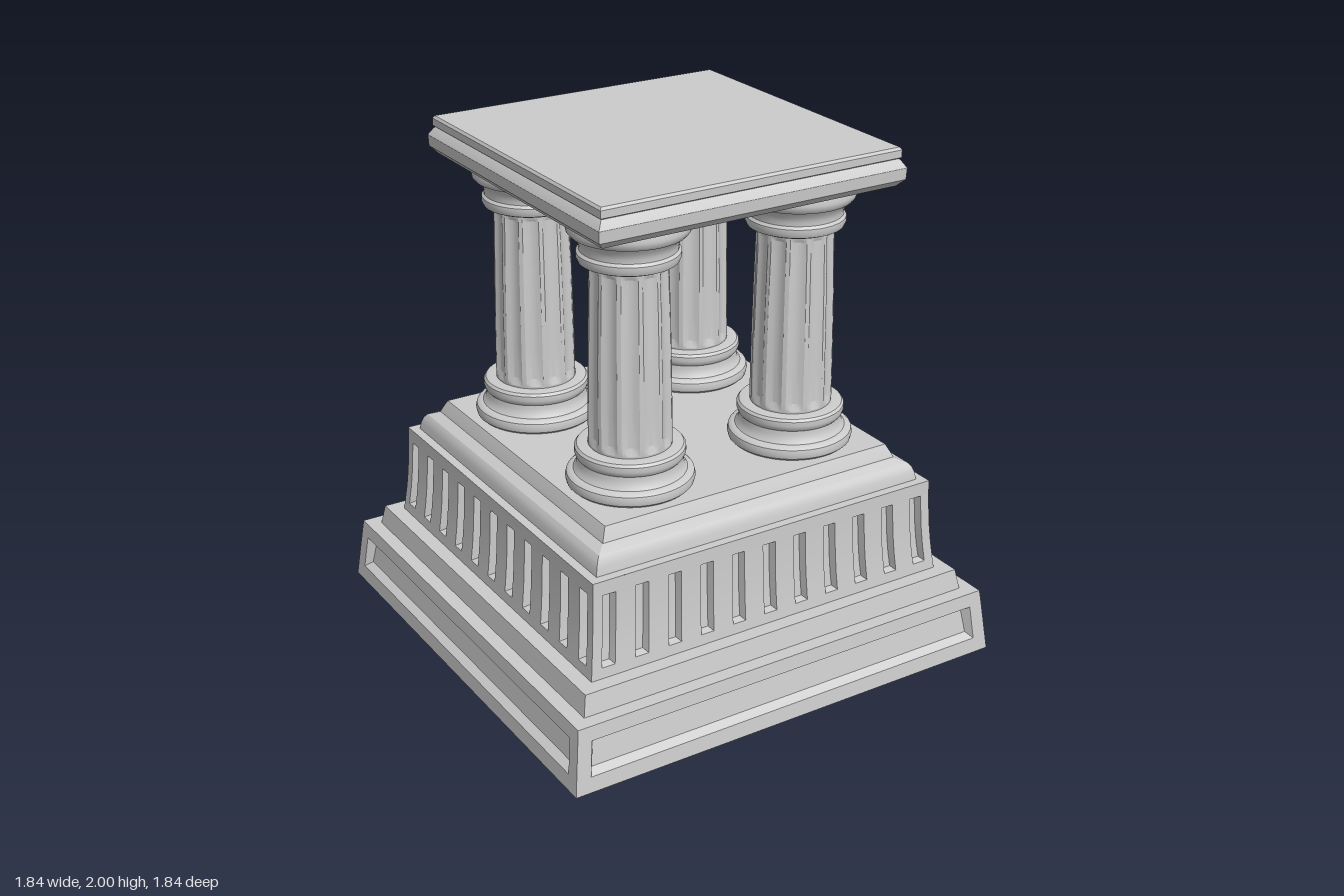
import * as THREE from 'three';
import { toCreasedNormals } from 'three/addons/utils/BufferGeometryUtils.js';

const material = new THREE.MeshStandardMaterial({ color: 0xcccccc });

function addMesh(parent, name, geometry, crease = 0.6) {
  const mesh = new THREE.Mesh(toCreasedNormals(geometry, crease), material);
  mesh.name = name;
  parent.add(mesh);
  return mesh;
}

const toPoints = (profile) => profile.map(([r, y]) => new THREE.Vector2(r, y));

// Square moulding from a profile of [half width, height], bottom to top
function squareMoulding(profile) {
  const points = toPoints(profile.map(([h, y]) => [h * Math.SQRT2, y]));
  return new THREE.LatheGeometry(points, 4).rotateY(Math.PI / 4);
}

// One wall facing +z with sunk slots. rows: [half width, height]; slots: [u0, u1] as
// fractions of the half width, cut between the row indices first and last.
function recessedWall(rows, slots, first, last, depth, inset) {
  const pos = [];
  const quad = (a, b, c, d) => pos.push(...a, ...b, ...c, ...a, ...c, ...d);
  const front = (u, i) => [u * rows[i][0], rows[i][1], rows[i][0]];
  const strip = (u0, u1, i0, i1) => {
    for (let i = i0; i < i1; i++) quad(front(u0, i), front(u1, i), front(u1, i + 1), front(u0, i + 1));
  };
  let edge = -1;
  for (const [u0, u1] of slots) {
    strip(edge, u0, 0, rows.length - 1);
    strip(u0, u1, 0, first);
    strip(u0, u1, last, rows.length - 1);
    const back = (u, i) => {
      const [x, y, z] = front(u, i);
      const dy = i === first ? inset : i === last ? -inset : 0;
      return [x + (u === u0 ? inset : -inset), y + dy, z - depth];
    };
    for (let i = first; i < last; i++) {
      quad(back(u0, i), back(u1, i), back(u1, i + 1), back(u0, i + 1));
      quad(front(u0, i), back(u0, i), back(u0, i + 1), front(u0, i + 1));
      quad(back(u1, i), front(u1, i), front(u1, i + 1), back(u1, i + 1));
    }
    quad(front(u0, first), front(u1, first), back(u1, first), back(u0, first));
    quad(back(u0, last), back(u1, last), front(u1, last), front(u0, last));
    edge = u1;
  }
  strip(edge, 1, 0, rows.length - 1);
  const geometry = new THREE.BufferGeometry();
  geometry.setAttribute('position', new THREE.Float32BufferAttribute(pos, 3));
  geometry.computeVertexNormals();
  return geometry;
}

function fourWalls(name, geometry) {
  const group = new THREE.Group();
  group.name = name;
  for (let i = 0; i < 4; i++) addMesh(group, name + 'Side', geometry, 0.4).rotation.y = i * Math.PI / 2;
  return group;
}

// Tapered shaft with twelve shallow flutes that fade out at both ends
function flutedShaft() {
  const profile = [[0.152, 0.98], [0.154, 1.0], [0.155, 1.015], [0.155, 1.03], [0.154, 1.15],
    [0.152, 1.3], [0.149, 1.45], [0.145, 1.6], [0.143, 1.66], [0.143, 1.675], [0.143, 1.7]];
  const geometry = new THREE.LatheGeometry(toPoints(profile), 120);
  const p = geometry.attributes.position;
  for (let i = 0; i < p.count; i++) {
    const x = p.getX(i), y = p.getY(i), z = p.getZ(i);
    const cell = Math.atan2(x, z) / (Math.PI / 6);
    const t = (cell - Math.round(cell)) * 2 / 0.8;
    const fade = THREE.MathUtils.smoothstep(y, 0.995, 1.03) * (1 - THREE.MathUtils.smoothstep(y, 1.655, 1.69));
    const k = 1 - 0.011 * Math.max(0, 1 - t * t) * fade / Math.hypot(x, z);
    p.setX(i, x * k);
    p.setZ(i, z * k);
  }
  geometry.computeVertexNormals();
  return geometry;
}

export function createModel() {
  const model = new THREE.Group();
  model.name = 'columnPedestal';

  // Base block with one sunk panel per side
  const baseRows = [[0.92, 0], [0.913, 0.06], [0.897, 0.195], [0.89, 0.25]];
  model.add(fourWalls('basePanel', recessedWall(baseRows, [[-0.937, 0.937]], 1, 2, 0.03, 0.02)));
  addMesh(model, 'baseBottom', squareMoulding([[0, 0], [0.92, 0]]));
  addMesh(model, 'baseStep', squareMoulding([[0.89, 0.25], [0.835, 0.25], [0.82, 0.33], [0.7, 0.33]]));

  // Flared frieze with eleven slots per side
  const friezeRows = [[0.762, 0.33], [0.757, 0.37], [0.749, 0.44], [0.743, 0.51], [0.739, 0.58], [0.736, 0.645], [0.735, 0.7]];
  const slots = [];
  for (let i = -5; i <= 5; i++) slots.push([i * 0.1823 - 0.036, i * 0.1823 + 0.036]);
  model.add(fourWalls('frieze', recessedWall(friezeRows, slots, 1, 5, 0.03, 0.007)));

  // Moulding and floor under the columns
  addMesh(model, 'platform', squareMoulding([[0.735, 0.7], [0.7, 0.7], [0.695, 0.73], [0.687, 0.752], [0.675, 0.767],
    [0.655, 0.776], [0.636, 0.784], [0.63, 0.8], [0.613, 0.835], [0, 0.835]]), 0.4);

  // Four columns
  const base = new THREE.LatheGeometry(toPoints([[0.222, 0.835], [0.233, 0.845], [0.237, 0.863], [0.233, 0.88], [0.222, 0.89],
    [0.208, 0.892], [0.198, 0.905], [0.193, 0.925], [0.192, 0.94], [0.199, 0.948], [0.203, 0.962], [0.202, 0.98],
    [0.194, 0.99], [0.18, 0.993], [0.14, 0.993]]), 48);
  const capital = new THREE.LatheGeometry(toPoints([[0.13, 1.685], [0.163, 1.685], [0.178, 1.692], [0.185, 1.708], [0.184, 1.725],
    [0.175, 1.735], [0.175, 1.75], [0.18, 1.768], [0.191, 1.783], [0.195, 1.79], [0.208, 1.793], [0.218, 1.805],
    [0.221, 1.822], [0.217, 1.84], [0.205, 1.85], [0.195, 1.858]]), 48);
  const shaft = flutedShaft();
  for (const x of [-1, 1]) for (const z of [-1, 1]) {
    const column = new THREE.Group();
    column.name = 'column';
    column.position.set(x * 0.353, 0, z * 0.353);
    addMesh(column, 'columnBase', base);
    addMesh(column, 'columnShaft', shaft, 0.25);
    addMesh(column, 'columnCapital', capital);
    model.add(column);
  }

  // Top slab
  addMesh(model, 'topSlab', squareMoulding([[0, 1.855], [0.605, 1.855], [0.63, 1.882], [0.632, 1.925], [0.615, 1.952],
    [0.61, 1.957], [0.617, 1.962], [0.617, 1.99], [0.61, 2], [0, 2]]), 0.3);

  return model;
}
